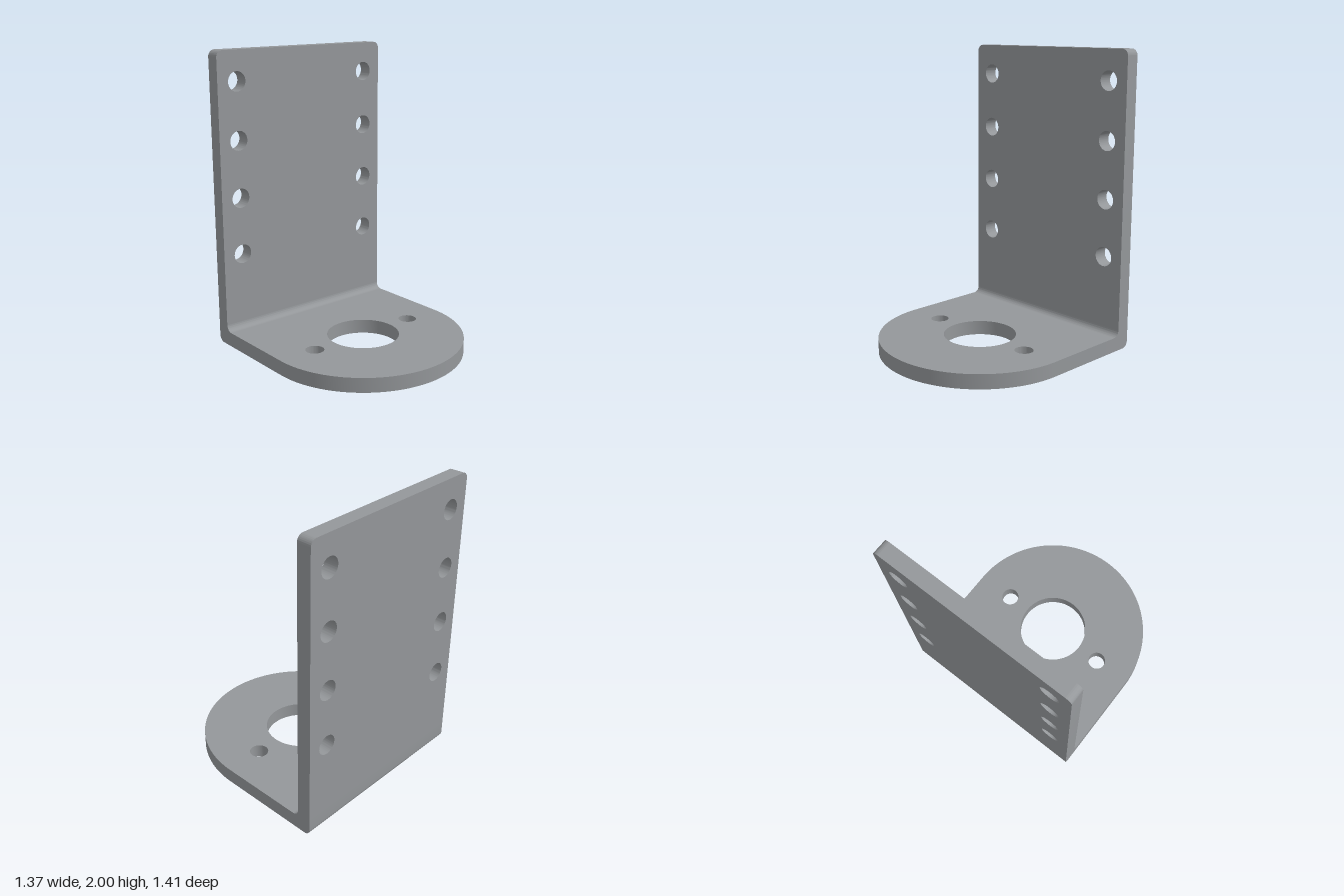
import * as THREE from 'three';
import { toCreasedNormals } from 'three/addons/utils/BufferGeometryUtils.js';

const W = 0.683;        // half width
const T = 0.098;        // sheet thickness
const BACK = -0.707;    // rear face
const R = 0.045;        // bend and corner radius
const BEND = T + R;     // length of each leg of the bend
const HUB_Z = 0.023;    // centre of the round base end

// Blue-grey steel
const material = new THREE.MeshStandardMaterial({ color: 0x94979a });

function addHole(shape, x, y, r) {
  shape.holes.push(new THREE.Path().absarc(x, y, r, 0, Math.PI * 2, true));
}

function extrude(shape, depth) {
  return new THREE.ExtrudeGeometry(shape, { depth, bevelEnabled: false, curveSegments: 40 });
}

function part(name, geometry) {
  const mesh = new THREE.Mesh(toCreasedNormals(geometry, 0.5), material);
  mesh.name = name;
  return mesh;
}

// Upright plate with rounded top corners and two columns of bolt holes
function uprightPlate() {
  const s = new THREE.Shape();
  s.moveTo(-W, BEND);
  s.lineTo(W, BEND);
  s.lineTo(W, 2 - R);
  s.absarc(W - R, 2 - R, R, 0, Math.PI / 2);
  s.absarc(-W + R, 2 - R, R, Math.PI / 2, Math.PI);
  for (const x of [-0.537, 0.537])
    for (let i = 0; i < 4; i++) addHole(s, x, 0.625 + i * 0.39, 0.066);
  return part('uprightPlate', extrude(s, T).translate(0, 0, BACK));
}

// Base plate with a semicircular front, drawn with shape y = -z
function basePlate() {
  const s = new THREE.Shape();
  s.moveTo(W, -HUB_Z);
  s.lineTo(W, -BACK - BEND);
  s.lineTo(-W, -BACK - BEND);
  s.lineTo(-W, -HUB_Z);
  s.absarc(0, -HUB_Z, W, Math.PI, Math.PI * 2);
  addHole(s, 0, -HUB_Z, 0.245);
  for (const x of [-0.414, 0.414]) addHole(s, x, -HUB_Z, 0.062);
  return part('basePlate', extrude(s, T).rotateX(-Math.PI / 2));
}

// Bend joining the plates: side profile (z, y) swept across the width
function bend() {
  const s = new THREE.Shape();
  s.moveTo(BACK + R, 0);
  s.lineTo(BACK + BEND, 0);
  s.lineTo(BACK + BEND, T);
  s.absarc(BACK + BEND, BEND, R, -Math.PI / 2, -Math.PI, true);
  s.lineTo(BACK, BEND);
  s.lineTo(BACK, R);
  s.absarc(BACK + R, R, R, Math.PI, Math.PI * 1.5);
  return part('bend', extrude(s, 2 * W).rotateY(-Math.PI / 2).translate(W, 0, 0));
}

export function createModel() {
  const group = new THREE.Group();
  group.name = 'mountingBracket';
  group.add(uprightPlate(), basePlate(), bend());
  return group;
}
